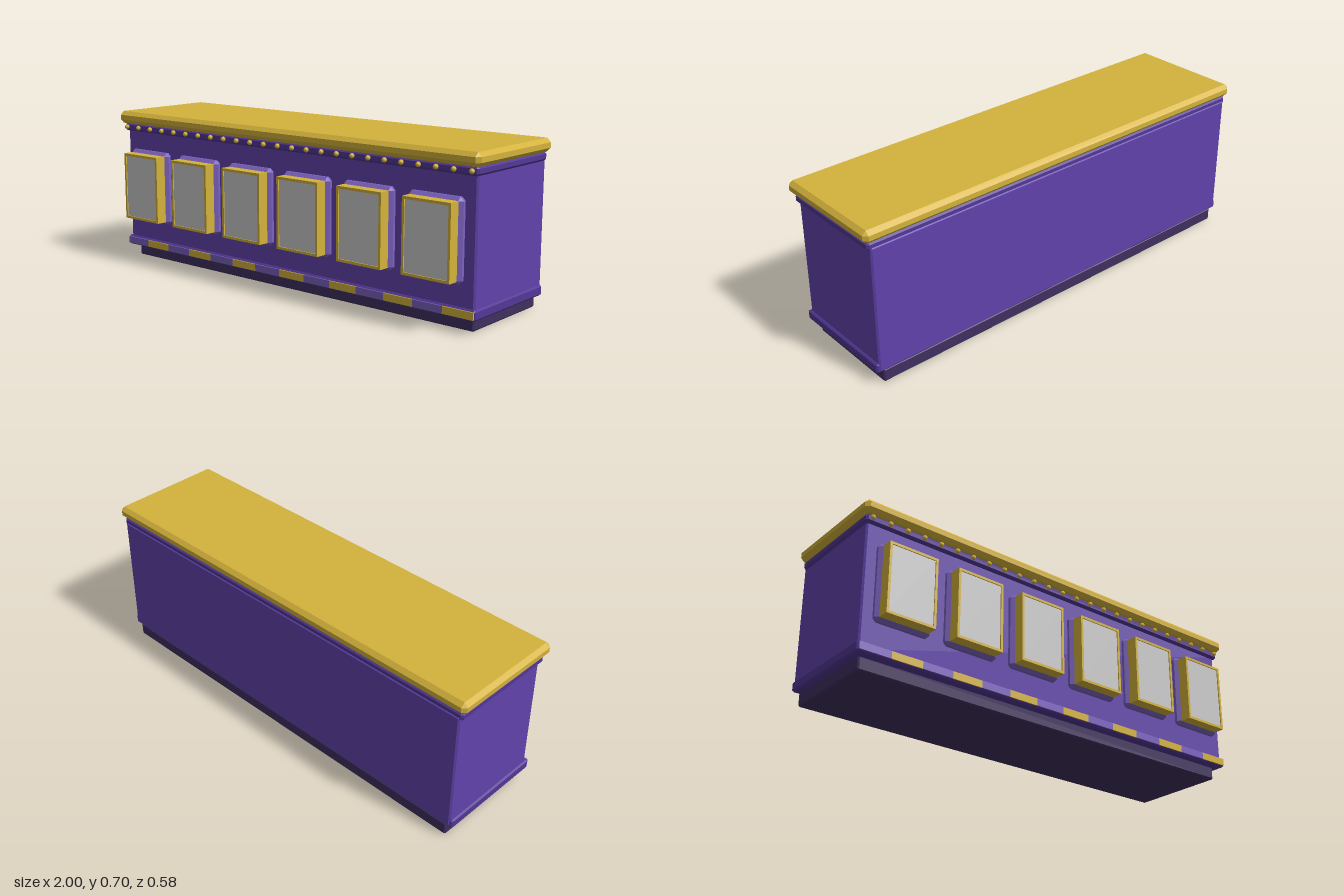
import * as THREE from 'three';
import { ConvexGeometry } from 'three/addons/geometries/ConvexGeometry.js';

const material = (color) => new THREE.MeshStandardMaterial({ color });
const gold = material(0xd4b23c);
const purple = material(0x6142ac);
const deepPurple = material(0x523795);
const lilac = material(0x7c62c0);
const darkBase = material(0x3f305f);
const glass = material(0xcccccc);

// Box given by its extents, with every edge chamfered by c
function chamferBox([x0, x1], [y0, y1], [z0, z1], c) {
  const size = [x1 - x0, y1 - y0, z1 - z0];
  const points = [];
  for (const sx of [-1, 1]) for (const sy of [-1, 1]) for (const sz of [-1, 1]) {
    for (let axis = 0; axis < 3; axis++) {
      const [x, y, z] = size.map((s, i) => s / 2 - (i === axis ? 0 : c));
      points.push(new THREE.Vector3(sx * x, sy * y, sz * z));
    }
  }
  const geometry = new ConvexGeometry(points);
  geometry.translate((x0 + x1) / 2, (y0 + y1) / 2, (z0 + z1) / 2);
  return geometry;
}

function add(parent, name, geometry, mat) {
  const mesh = new THREE.Mesh(geometry, mat);
  mesh.name = name;
  parent.add(mesh);
  return mesh;
}

// Rectangular rim with an opening, extruded forward
function rimGeometry(w, h, border, depth) {
  const rect = (Target, a, b) => {
    const s = new Target();
    s.moveTo(-a, -b);
    s.lineTo(a, -b);
    s.lineTo(a, b);
    s.lineTo(-a, b);
    s.closePath();
    return s;
  };
  const shape = rect(THREE.Shape, w / 2, h / 2);
  shape.holes.push(rect(THREE.Path, w / 2 - border, h / 2 - border));
  return new THREE.ExtrudeGeometry(shape, { depth, bevelEnabled: false });
}

export function createModel() {
  const counter = new THREE.Group();
  counter.name = 'displayCounter';

  // Stacked main volumes
  add(counter, 'plinth', chamferBox([-0.952, 0.952], [0, 0.06], [-0.274, 0.176], 0.006), darkBase);
  add(counter, 'body', chamferBox([-0.974, 0.974], [0.06, 0.622], [-0.28, 0.207], 0.007), purple);
  add(counter, 'lowerBand', chamferBox([-0.984, 0.984], [0.055, 0.099], [-0.276, 0.218], 0.007), deepPurple);
  add(counter, 'upperMoulding', chamferBox([-0.984, 0.984], [0.606, 0.643], [-0.276, 0.222], 0.009), deepPurple);
  add(counter, 'countertop', chamferBox([-1, 1], [0.642, 0.698], [-0.288, 0.245], 0.017), gold);

  // Alternating tiles along the lower band
  const tileCount = 14;
  const pitch = 1.956 / tileCount;
  for (let i = 0; i < tileCount; i++) {
    const tile = add(counter, 'bandTile', new THREE.BoxGeometry(pitch, 0.031, 0.012), i % 2 ? gold : lilac);
    tile.position.set((i - (tileCount - 1) / 2) * pitch, 0.077, 0.217);
  }

  // Row of beads under the countertop
  const bead = new THREE.SphereGeometry(0.011, 8, 6);
  for (let i = 0; i < 25; i++) {
    add(counter, 'bead', bead, gold).position.set((i - 12) * 0.08, 0.625, 0.229);
  }

  // Six framed display windows
  const surround = chamferBox([-0.125, 0.125], [-0.167, 0.167], [0.2, 0.242], 0.015);
  const rim = rimGeometry(0.222, 0.307, 0.011, 0.055);
  const pane = new THREE.BoxGeometry(0.202, 0.287, 0.045);
  for (let i = 0; i < 6; i++) {
    const display = new THREE.Group();
    display.name = 'displayWindow';
    display.position.set((i - 2.5) * 0.321, 0.357, 0);
    add(display, 'surround', surround, lilac);
    add(display, 'rim', rim, gold).position.z = 0.235;
    add(display, 'pane', pane, glass).position.z = 0.263;
    counter.add(display);
  }

  return counter;
}
